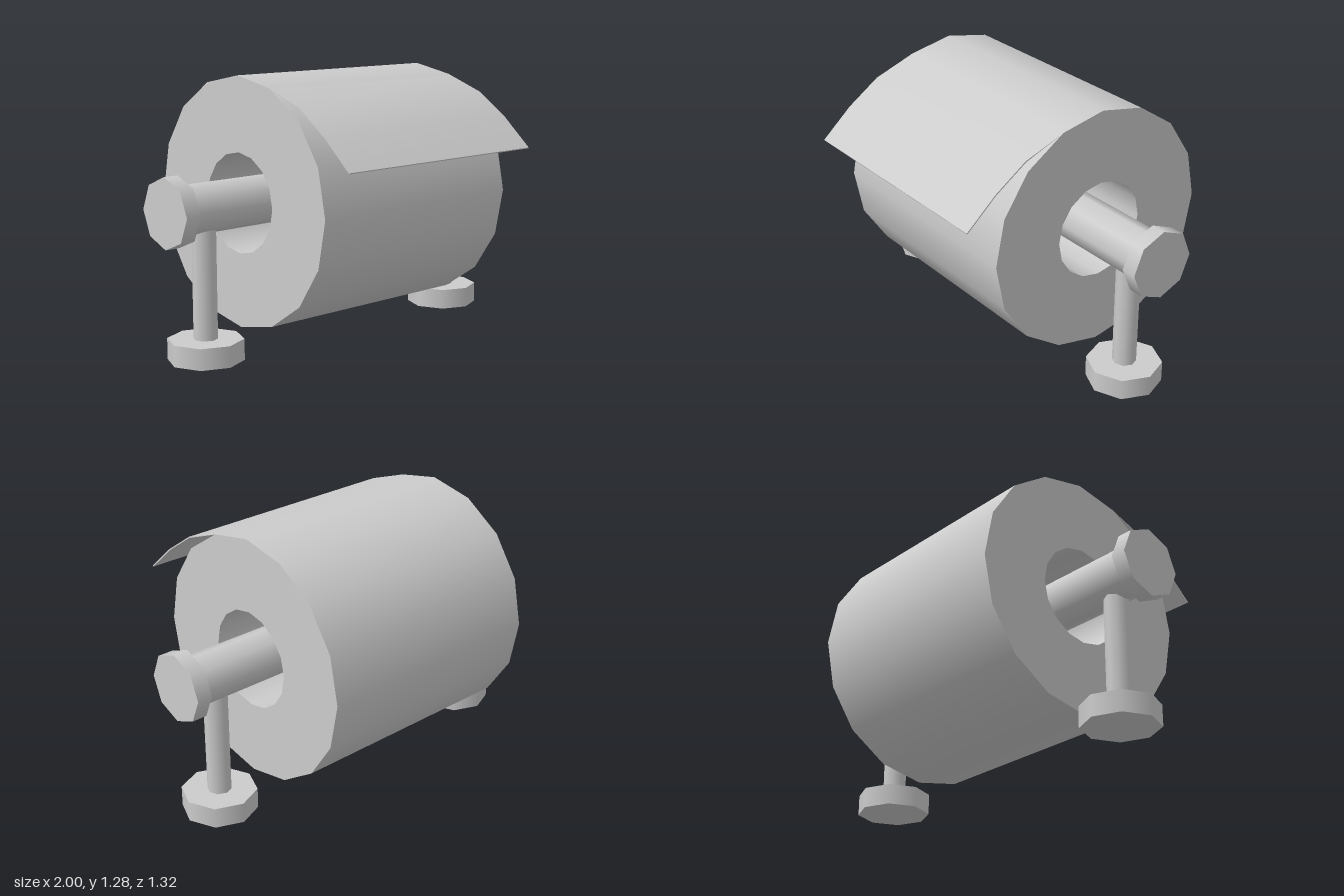
import * as THREE from 'three';
import { mergeGeometries, toCreasedNormals } from 'three/addons/utils/BufferGeometryUtils.js';

const AXIS_Y = 0.7, AXIS_Z = -0.077;
const ROLL_R = 0.585, BORE_R = 0.235, HALF_W = 0.585;

// Hollow cylinder along y with hard rims: one lathe per edge of its section
function hollowCylinder(outer, inner, half, sides) {
  const c = [[outer, -half], [outer, half], [inner, half], [inner, -half]]
    .map(([x, y]) => new THREE.Vector2(x, y));
  return mergeGeometries(c.map((p, i) => new THREE.LatheGeometry([p, c[(i + 1) % 4]], sides)));
}

// Loose end of the paper: a thin curved strip, extruded across the width
function looseSheet() {
  const path = [[0.145, 1.24], [0.35, 1.166], [0.51, 1.056], [0.66, 0.922]];
  const t = 0.005;
  const under = path.slice(1).reverse().map(([z, y]) => [z - t * 0.6, y - t]);
  const shape = new THREE.Shape([...path, ...under].map(([z, y]) => new THREE.Vector2(z, y)));
  const geo = new THREE.ExtrudeGeometry(shape, { depth: HALF_W * 2, bevelEnabled: false });
  geo.rotateY(-Math.PI / 2).translate(HALF_W, 0, 0);
  return toCreasedNormals(geo, 0.6);
}

export function createModel() {
  const model = new THREE.Group();
  model.name = 'paperRollOnStand';
  const grey = new THREE.MeshStandardMaterial({ color: 0xcccccc });
  grey.name = 'light grey';

  const add = (name, geo, x = 0, y = 0, z = 0) => {
    const mesh = new THREE.Mesh(geo, grey);
    mesh.name = name;
    mesh.position.set(x, y, z);
    model.add(mesh);
    return mesh;
  };
  const octagon = (r, h) => new THREE.CylinderGeometry(r, r, h, 8);

  // Paper roll and its loose end
  add('paperRoll', hollowCylinder(ROLL_R, BORE_R, HALF_W, 16).rotateZ(Math.PI / 2), 0, AXIS_Y, AXIS_Z);
  add('looseSheet', looseSheet());

  // Rod through the bore
  add('rod', octagon(0.117, 1.86).rotateZ(Math.PI / 2), 0, 0.703, AXIS_Z);

  // End caps, posts and feet on both sides
  for (const [side, s] of [['left', 1], ['right', -1]]) {
    add(side + 'EndCap', octagon(0.163, 0.073).rotateZ(Math.PI / 2), s * 0.9635, 0.703, AXIS_Z);
    add(side + 'Post', octagon(0.056, 0.56), s * 0.79, 0.36, AXIS_Z);
    add(side + 'Foot', octagon(0.177, 0.1), s * 0.79, 0.05, AXIS_Z);
  }
  return model;
}
